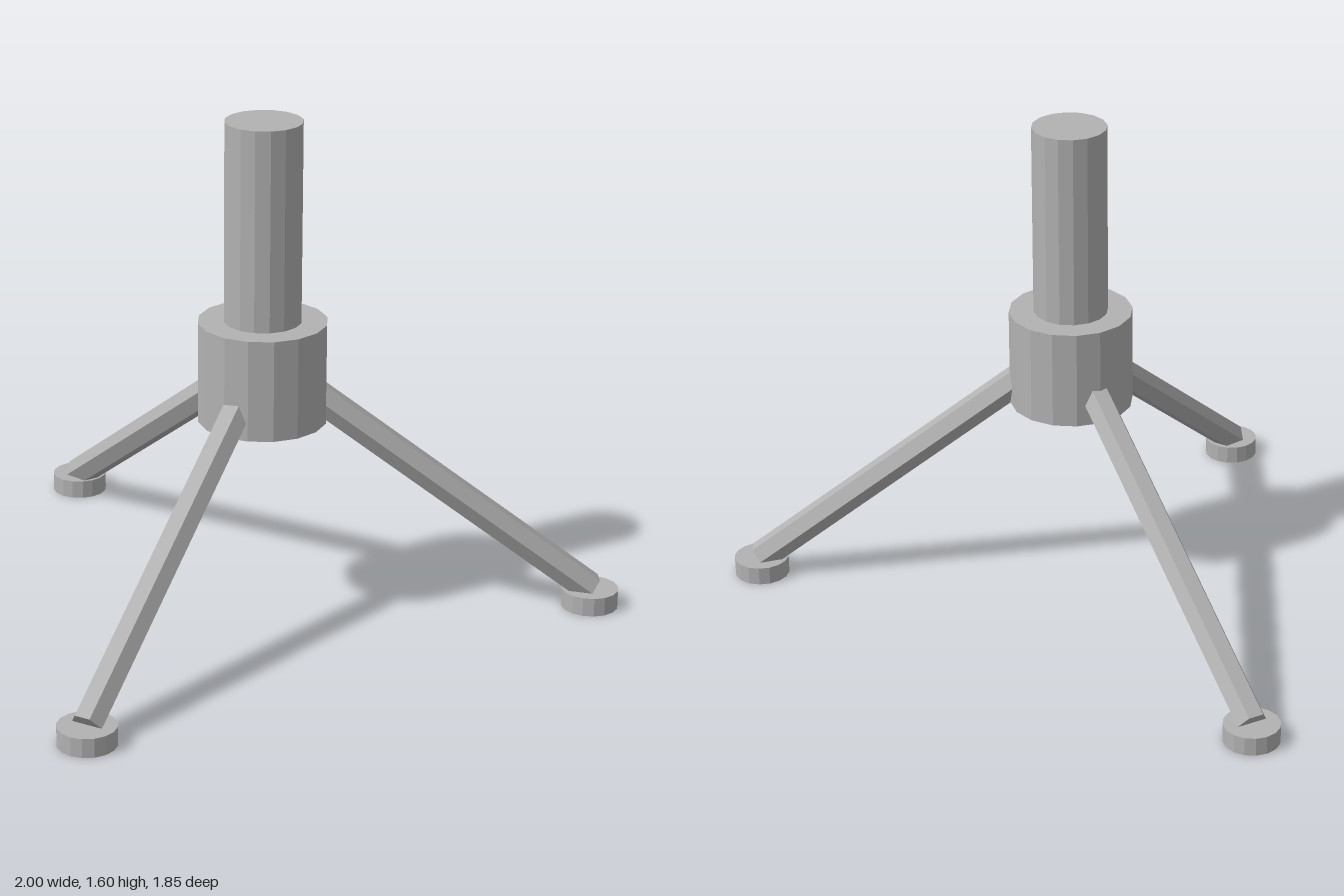
import * as THREE from 'three';

export function createModel() {
  const model = new THREE.Group();
  model.name = 'tripodStand';
  const grey = new THREE.MeshStandardMaterial({ color: 0xb2b2b2, flatShading: true });
  grey.name = 'grey';

  // Upright cylinder standing between two heights
  function drum(name, radius, y0, y1, sides) {
    const mesh = new THREE.Mesh(new THREE.CylinderGeometry(radius, radius, y1 - y0, sides), grey);
    mesh.name = name;
    mesh.position.y = (y0 + y1) / 2;
    return mesh;
  }

  // Hub and column share an axis in front of the centre
  const axisZ = 0.33;
  const body = new THREE.Group();
  body.name = 'body';
  body.position.z = axisZ;
  body.add(drum('hub', 0.2, 0.65, 0.97, 16), drum('column', 0.12, 0.97, 1.6, 16));
  model.add(body);

  // Each leg slopes from inside the hub down to its own round foot
  const footTop = 0.06, innerRadius = 0.07, innerY = 0.8;
  const legs = [
    ['back', 0, -0.84],
    ['left', 0.91, 0.835],
    ['right', -0.91, 0.835],
  ];
  for (const [side, x, z] of legs) {
    const reach = Math.hypot(x, z - axisZ);
    const dz = innerRadius - reach, dy = innerY - footTop;
    const group = new THREE.Group();
    group.name = side + 'LegAssembly';
    group.rotation.y = Math.atan2(x, z - axisZ);

    const leg = new THREE.Mesh(
      new THREE.CylinderGeometry(0.05, 0.05, Math.hypot(dz, dy), 6, 1, false, Math.PI / 2), grey);
    leg.name = side + 'Leg';
    leg.position.set(0, (innerY + footTop) / 2, (innerRadius + reach) / 2);
    leg.rotation.x = Math.atan2(dz, dy);

    const foot = drum(side + 'Foot', 0.09, 0, footTop, 16);
    foot.position.z = reach;
    group.add(leg, foot);
    body.add(group);
  }
  return model;
}
